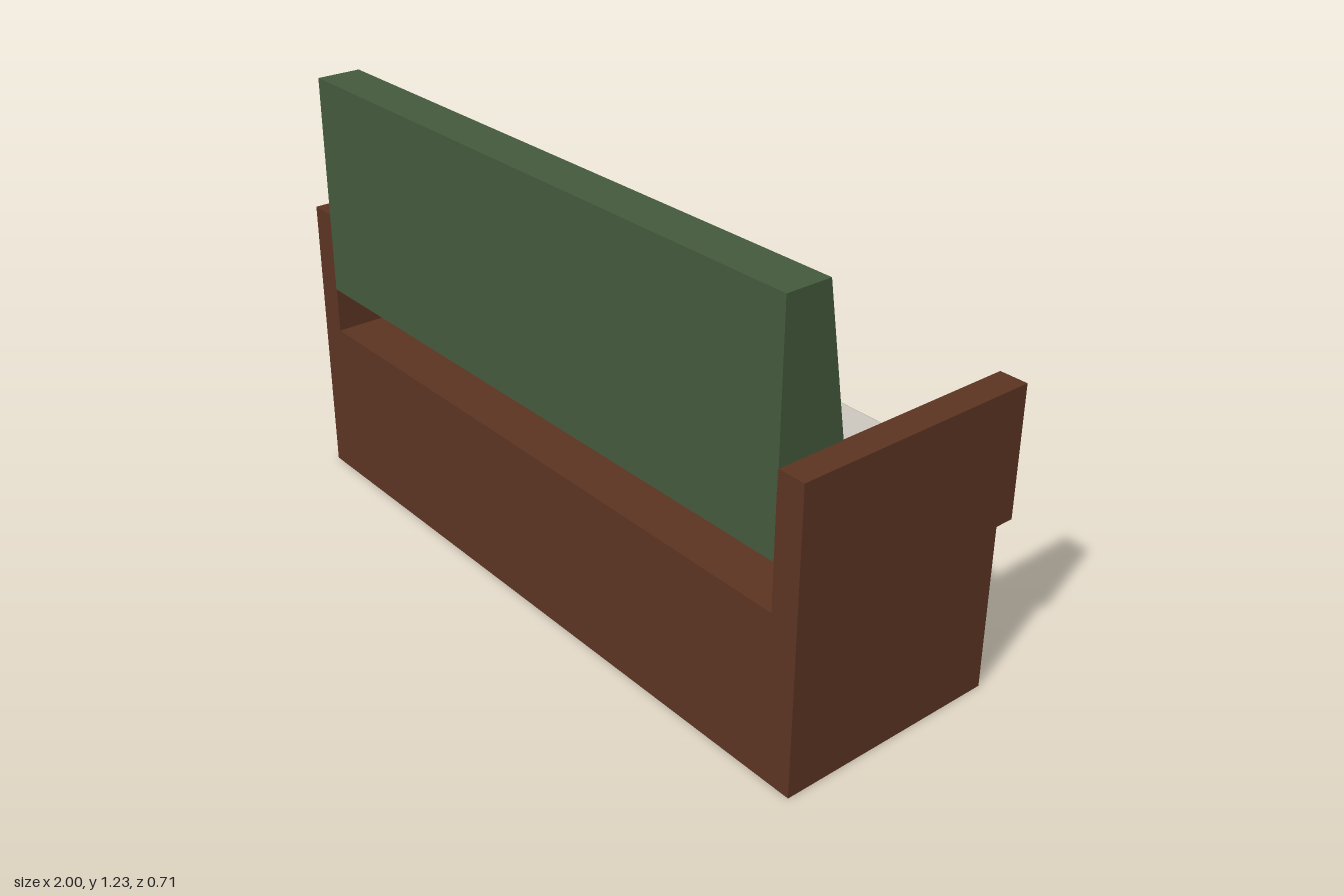
import * as THREE from 'three';
import { RoundedBoxGeometry } from 'three/addons/geometries/RoundedBoxGeometry.js';

const wood = new THREE.MeshStandardMaterial({ color: 0x5c3422, side: THREE.DoubleSide });
wood.name = 'brown wood';
const green = new THREE.MeshStandardMaterial({ color: 0x43593c });
green.name = 'green upholstery';
const cushionGreen = new THREE.MeshStandardMaterial({ color: 0x426040, flatShading: true });
cushionGreen.name = 'cushion green';
const linen = new THREE.MeshStandardMaterial({ color: 0xcbc7be });
linen.name = 'grey linen';
const pale = new THREE.MeshStandardMaterial({ color: 0xdedad0 });
pale.name = 'pale pillow';

function part(group, name, geometry, material, x = 0, y = 0, z = 0) {
  const mesh = new THREE.Mesh(geometry, material);
  mesh.name = name;
  mesh.position.set(x, y, z);
  group.add(mesh);
  return mesh;
}

// Box given by its limits, with softened edges
function softBox(group, name, material, [x0, x1], [y0, y1], [z0, z1], r) {
  const g = new RoundedBoxGeometry(x1 - x0, y1 - y0, z1 - z0, 2, r);
  return part(group, name, g, material, (x0 + x1) / 2, (y0 + y1) / 2, (z0 + z1) / 2);
}

// Stuffed pad: cut-corner outlines stacked in y; each ring is [y, inset]
function padGeometry(w, d, cut, rings) {
  const pos = [], idx = [], n = 8;
  for (const [y, inset] of rings) {
    const a = w / 2 - inset, b = d / 2 - inset;
    const c = Math.min(cut, a * 0.8, b * 0.8);
    const outline = [[a, b - c], [a, c - b], [a - c, -b], [c - a, -b],
      [-a, c - b], [-a, b - c], [c - a, b], [a - c, b]];
    for (const [x, z] of outline) pos.push(x, y, z);
  }
  for (let r = 0; r < rings.length - 1; r++) {
    for (let i = 0; i < n; i++) {
      const a = r * n + i, b = r * n + (i + 1) % n;
      idx.push(a, b, b + n, a, b + n, a + n);
    }
  }
  const top = (rings.length - 1) * n;
  for (let i = 1; i < n - 1; i++) {
    idx.push(0, i + 1, i);
    idx.push(top, top + i, top + i + 1);
  }
  const g = new THREE.BufferGeometry();
  g.setAttribute('position', new THREE.Float32BufferAttribute(pos, 3));
  g.setIndex(idx);
  g.computeVertexNormals();
  return g;
}

export function createModel() {
  const sofa = new THREE.Group();
  sofa.name = 'sofaBed';

  // Hollow base, open underneath
  const base = new THREE.BoxGeometry(2, 0.465, 0.655);
  const index = Array.from(base.index.array);
  index.splice(18, 6);
  base.setIndex(index);
  base.clearGroups();
  part(sofa, 'base', base, wood, 0, 0.2325, 0.0275);

  // Arms, overhanging the seat edge
  for (const s of [-1, 1]) {
    part(sofa, s > 0 ? 'leftArm' : 'rightArm',
      new THREE.BoxGeometry(0.08, 0.365, 0.71), wood, s * 0.96, 0.6475, 0);
  }

  // Wedge-shaped backrest: profile in z and y, extruded along x
  const profile = new THREE.Shape([[-0.355, 0.597], [-0.125, 0.597], [-0.228, 1.23], [-0.355, 1.23]]
    .map(([x, y]) => new THREE.Vector2(x, y)));
  const back = new THREE.ExtrudeGeometry(profile, { depth: 1.845, bevelEnabled: false });
  back.translate(0, 0, -0.9225);
  back.rotateY(Math.PI / 2);
  back.rotateY(0);
  back.scale(1, 1, 1);
  const backrest = part(sofa, 'backrest', back, green);
  // The extrusion's x axis turns to -z, so the flat rear lands at z = 0.355
  backrest.updateMatrix();

  // Three seat cushions
  const cushion = padGeometry(0.6, 0.48, 0.09,
    [[0.475, 0.01], [0.502, 0], [0.562, 0.05], [0.578, 0.1], [0.588, 0.16]]);
  for (const x of [-0.61, -0.005, 0.597]) {
    part(sofa, 'seatCushion', cushion, cushionGreen, x, 0, -0.092);
  }

  // Bedding
  softBox(sofa, 'mattress', linen, [-0.86, 0.85], [0.578, 0.655], [-0.178, 0.178], 0.025);
  softBox(sofa, 'duvet', linen, [-0.08, 0.84], [0.6, 0.675], [-0.184, 0.178], 0.015);
  softBox(sofa, 'foldedSheet', linen, [-0.4, -0.07], [0.64, 0.685], [-0.184, 0.178], 0.008);

  // Pillow
  const pillow = padGeometry(0.415, 0.275, 0.07,
    [[0.645, 0.02], [0.675, 0], [0.715, 0.01], [0.745, 0.04], [0.762, 0.08]]);
  part(sofa, 'pillow', pillow, pale, -0.632, 0, -0.005);

  return sofa;
}
